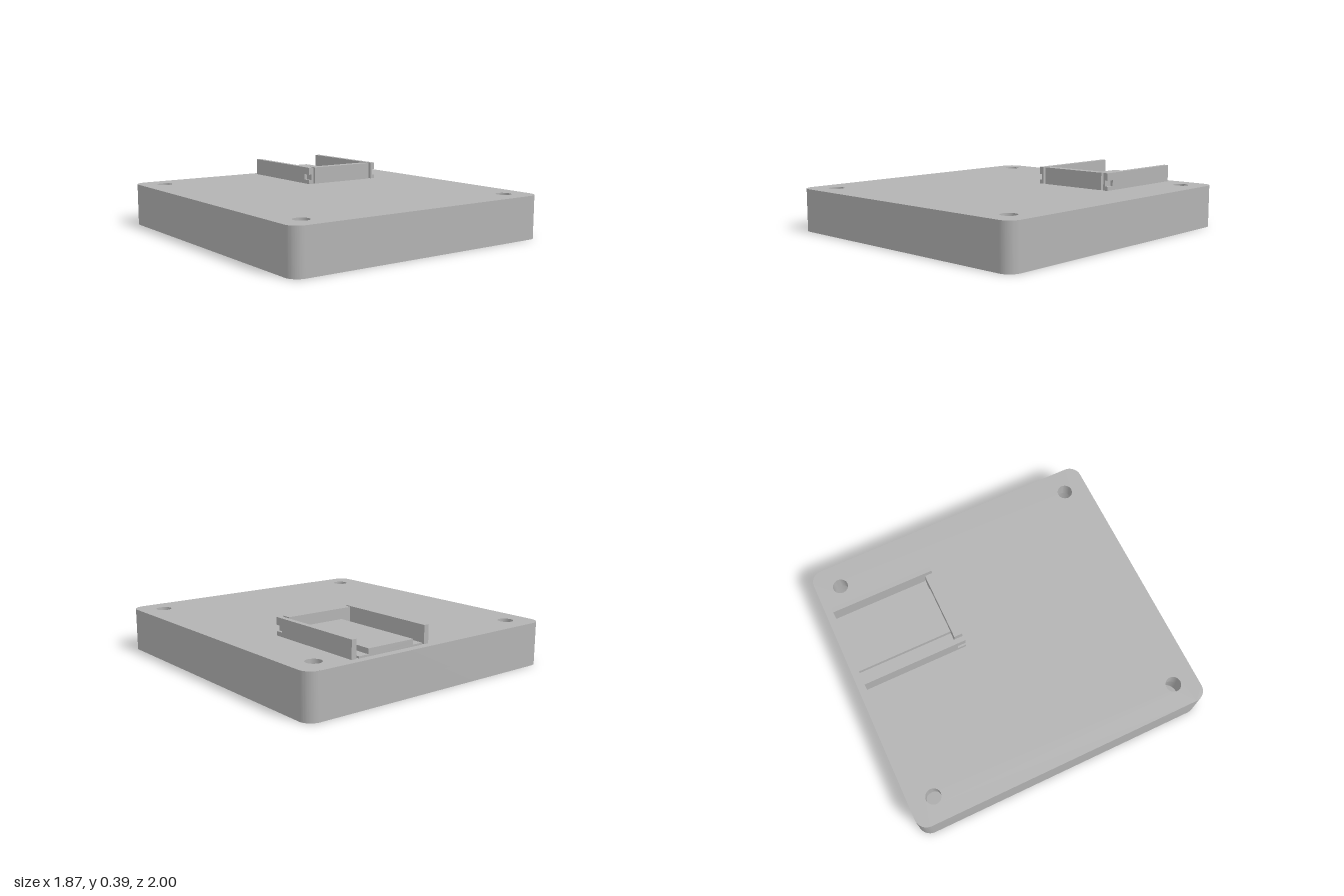
import * as THREE from 'three';
import { toCreasedNormals } from 'three/addons/utils/BufferGeometryUtils.js';

const W = 0.935, D = 1, H = 0.28, R = 0.08;          // base half width, half depth, height, corner
const SCREW = { x: 0.775, z: 0.84, top: 0.05, bottom: 0.081, step: 0.18 };
const FOOT = { x: 0.49, z: 0.79, r: 0.174, depth: 0.04 };

// Runs a function for each of the four mirrored positions
function fourCorners(x, z, fn) {
  for (const sx of [-1, 1]) for (const sz of [-1, 1]) fn(sx * x, sz * z);
}

function baseOutline() {
  const s = new THREE.Shape();
  s.absarc(W - R, D - R, R, 0, Math.PI / 2);
  s.absarc(-W + R, D - R, R, Math.PI / 2, Math.PI);
  s.absarc(-W + R, -D + R, R, Math.PI, Math.PI * 1.5);
  s.absarc(W - R, -D + R, R, Math.PI * 1.5, Math.PI * 2);
  s.closePath();
  return s;
}

function cutCircles(shape, x, z, r) {
  fourCorners(x, z, (cx, cz) => {
    const p = new THREE.Path();
    p.absarc(cx, cz, r, 0, Math.PI * 2, true);
    shape.holes.push(p);
  });
  return shape;
}

// Inward-facing wall of a round cut; the profile runs from top to bottom
function cutWall(profile) {
  const pts = profile.map(([r, y]) => new THREE.Vector2(r, y));
  return toCreasedNormals(new THREE.LatheGeometry(pts, 32), 0.6);
}

export function createModel() {
  const model = new THREE.Group();
  model.name = 'mountingPlate';
  const grey = new THREE.MeshStandardMaterial({ color: 0xb3b3b3 });
  grey.name = 'plainGrey';

  function add(parent, name, geometry, x = 0, y = 0, z = 0) {
    const m = new THREE.Mesh(geometry, grey);
    m.name = name;
    m.position.set(x, y, z);
    parent.add(m);
    return m;
  }
  // Box given by its limits on each axis
  function block(parent, name, [x0, x1], [y0, y1], [z0, z1]) {
    add(parent, name, new THREE.BoxGeometry(x1 - x0, y1 - y0, z1 - z0),
      (x0 + x1) / 2, (y0 + y1) / 2, (z0 + z1) / 2);
  }

  // Base: rim, top face and bottom face
  const base = new THREE.Group();
  base.name = 'base';
  model.add(base);

  const solid = new THREE.ExtrudeGeometry(baseOutline(), { depth: H, bevelEnabled: false, curveSegments: 12 });
  const side = solid.groups[1];
  const rim = new THREE.BufferGeometry();
  rim.setAttribute('position', new THREE.BufferAttribute(
    solid.attributes.position.array.slice(side.start * 3, (side.start + side.count) * 3), 3));
  rim.rotateX(-Math.PI / 2);
  add(base, 'baseRim', toCreasedNormals(rim, 0.6));

  const topShape = cutCircles(baseOutline(), SCREW.x, SCREW.z, SCREW.top);
  add(base, 'baseTop', new THREE.ShapeGeometry(topShape, 16).rotateX(-Math.PI / 2), 0, H);

  const bottomShape = cutCircles(baseOutline(), SCREW.x, SCREW.z, SCREW.bottom);
  cutCircles(bottomShape, FOOT.x, FOOT.z, FOOT.r);
  add(base, 'baseBottom', new THREE.ShapeGeometry(bottomShape, 16).rotateX(Math.PI / 2));

  // Stepped screw holes, wider from below
  const holeWall = cutWall([[SCREW.top, H], [SCREW.top, SCREW.step], [SCREW.bottom, SCREW.step], [SCREW.bottom, 0]]);
  fourCorners(SCREW.x, SCREW.z, (x, z) => add(base, 'screwHole', holeWall, x, 0, z));

  // Shallow round pockets for feet
  const pocket = cutWall([[0, FOOT.depth], [FOOT.r, FOOT.depth], [FOOT.r, 0]]);
  fourCorners(FOOT.x, FOOT.z, (x, z) => add(base, 'footPocket', pocket, x, 0, z));

  // Holder on the top: floor, raised pad and front stop
  const holder = new THREE.Group();
  holder.name = 'holder';
  model.add(holder);
  const top = 0.393, back = -0.95, front = -0.255, stop = -0.31;
  block(holder, 'holderFloor', [0.08, 0.552], [H, H + 0.012], [back, stop]);
  block(holder, 'holderPad', [0.15, 0.484], [H, H + 0.045], [back, stop]);
  block(holder, 'frontStop', [0.08, 0.552], [H, top], [stop, front]);

  // Side rails with a notch in the outer front end
  for (const [name, outer, mid, inner] of [['rightRail', 0.03, 0.049, 0.064], ['leftRail', 0.603, 0.584, 0.569]]) {
    const rail = new THREE.Group();
    rail.name = name;
    holder.add(rail);
    const span = (a, b) => [Math.min(a, b), Math.max(a, b)];
    block(rail, 'railBody', span(outer, inner), [H, top], [back, stop]);
    block(rail, 'railWeb', span(mid, inner), [H, top], [stop, front]);
    block(rail, 'lowerLip', span(outer, mid), [H, 0.307], [stop, front]);
    block(rail, 'upperLip', span(outer, mid), [0.345, top], [stop, front]);
  }
  return model;
}
